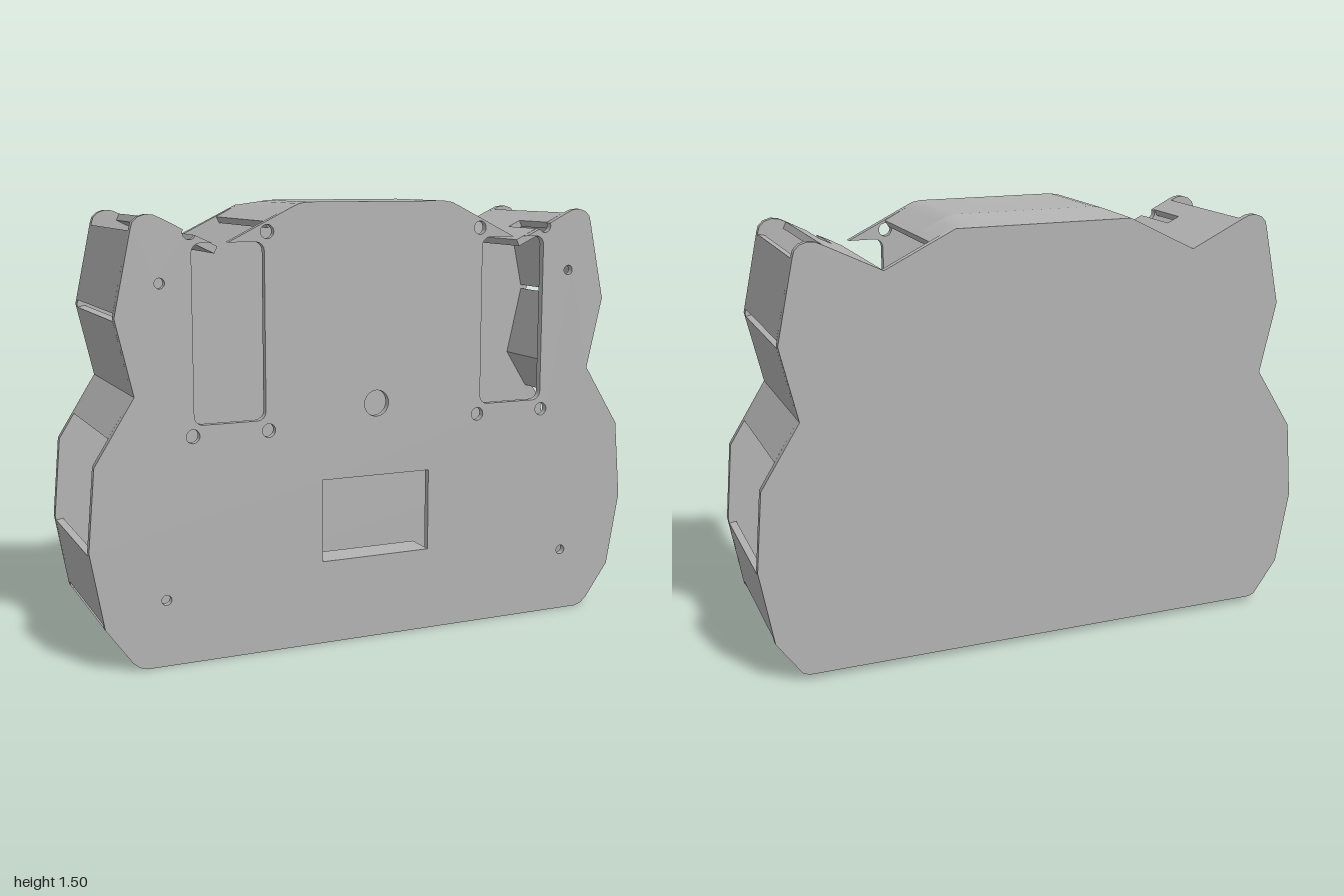
import * as THREE from 'three';
import { toCreasedNormals } from 'three/addons/utils/BufferGeometryUtils.js';

const FRONT = 0.273, BACK = -0.273, T = 0.025, TOP = 1.503;
const IN_F = FRONT - T, IN_B = BACK + T;

export function createModel() {
  const model = new THREE.Group();
  model.name = 'enclosure';
  const grey = new THREE.MeshStandardMaterial({ color: 0xb3b3b3 });
  grey.name = 'plain grey';

  const mirror = (pts) => pts.map(([x, y]) => [-x, y]).reverse();
  const toShape = (pts) => new THREE.Shape(pts.map(([x, y]) => new THREE.Vector2(x, y)));

  // Extrude between two depths; the floor and roof taper in toward the back
  function slab(name, shape, z0, z1) {
    let geo = new THREE.ExtrudeGeometry(shape, { depth: z1 - z0, bevelEnabled: false, curveSegments: 10 });
    geo.translate(0, 0, z0);
    const p = geo.attributes.position;
    for (let i = 0; i < p.count; i++) {
      const inset = 0.02 * Math.max(0, (-0.1 - p.getZ(i)) / (-0.1 - BACK));
      p.setY(i, Math.min(TOP - inset, Math.max(inset, p.getY(i))));
    }
    geo.computeVertexNormals();
    geo = toCreasedNormals(geo, 0.5);
    const mesh = new THREE.Mesh(geo, grey);
    mesh.name = name;
    model.add(mesh);
  }

  // Wall of constant thickness, following a run of outline points
  function wall(name, pts, z0 = IN_B, z1 = IN_F) {
    const normal = (a, b) => new THREE.Vector2(a[1] - b[1], b[0] - a[0]).normalize();
    const inner = pts.map((p, i) => {
      const n1 = normal(pts[Math.max(i - 1, 0)], pts[Math.max(i, 1)]);
      const last = pts.length - 1;
      const n2 = normal(pts[Math.min(i, last - 1)], pts[Math.min(i + 1, last)]);
      const k = T / (1 + n1.dot(n2));
      return [p[0] + (n1.x + n2.x) * k, p[1] + (n1.y + n2.y) * k];
    });
    slab(name, toShape([...pts, ...inner.reverse()]), z0, z1);
  }
  function wallPair(name, pts, z0, z1) {
    wall(name + 'Left', pts, z0, z1);
    wall(name + 'Right', mirror(pts), z0, z1);
  }

  // Outline of the left half, running from the floor up to the roof
  const corner = [[0.82, 0], [0.845, 0.008], [0.868, 0.028]];
  const flank = [[0.955, 0.15], [1, 0.41], [0.975, 0.685], [0.84, 0.9], [0.897, 1.15]];
  const earTip = [[0.838, 1.425], [0.832, 1.445], [0.815, 1.462], [0.79, 1.47], [0.765, 1.468], [0.74, 1.457]];
  const valley = [[0.55, 1.365]];
  const crown = [[0.31, 1.484], [0.28, 1.498], [0.25, TOP]];

  // Back plate
  const backHalf = [...corner, ...flank, ...earTip, ...valley, ...crown];
  slab('backPlate', toShape([...backHalf, ...mirror(backHalf)]), BACK, IN_B);

  // Front plate: the tall ear windows break out through the valleys,
  // and one screw hole bites into each ear slope
  const bite = [];
  for (let i = 0; i <= 8; i++) {
    const a = 0.45 - (Math.PI * i) / 8;
    bite.push([0.65 + 0.023 * Math.cos(a), 1.412 + 0.023 * Math.sin(a)]);
  }
  const round = (cx, cy, start) => [0, 1, 2, 3, 4].map((i) => {
    const a = start - (Math.PI / 8) * i;
    return [cx + 0.03 * Math.cos(a), cy + 0.03 * Math.sin(a)];
  });
  const earWindow = [
    [0.577, 1.378], ...round(0.615, 1.348, Math.PI / 2), ...round(0.615, 0.825, 0),
    ...round(0.43, 0.825, -Math.PI / 2), ...round(0.43, 1.348, Math.PI), [0.523, 1.378],
  ];
  const frontHalf = [...corner, ...flank, ...earTip, ...bite, ...earWindow, ...crown];
  const front = toShape([...frontHalf, ...mirror(frontHalf)]);
  const drill = (x, y, r) => front.holes.push(new THREE.Path().absarc(x, y, r, 0, Math.PI * 2, true));
  drill(0, 0.825, 0.045);
  for (const s of [-1, 1]) {
    for (const [x, y] of [[0.39, 1.41], [0.39, 0.76], [0.65, 0.76]]) drill(s * x, y, 0.023);
    for (const y of [0.225, 1.255]) drill(s * 0.75, y, 0.017);
  }
  front.holes.push(new THREE.Path([[-0.2, 0.29], [-0.2, 0.575], [0.2, 0.575], [0.2, 0.29]]
    .map(([x, y]) => new THREE.Vector2(x, y))));
  slab('frontPlate', front, IN_F, FRONT);

  // Floor and roof, each split where the taper begins
  const floorHalf = [...corner, [0.948, 0.14]];
  const roofHalf = [[0.39, 1.442], ...crown];
  for (const [z0, z1] of [[IN_B, -0.1], [-0.1, IN_F]]) {
    wall('floor', [...mirror(floorHalf), ...floorHalf], z0, z1);
    wall('roof', [...roofHalf, ...mirror(roofHalf)], z0, z1);
  }

  // Side walls between the slots, side windows and ear openings
  wallPair('lowerSide', [[0.9576, 0.165], [0.997, 0.395]]);
  wallPair('waist', [[0.922, 0.77], [0.84, 0.9], [0.895, 1.14]]);
  wallPair('earSide', [[0.894, 1.165], [0.839, 1.42]]);

  // Inner ear slope, with a groove running in from the front
  const slope = (x) => [x, 1.365 + (x - 0.55) * 0.484];
  wallPair('earSlopeUpper', [slope(0.74), slope(0.672)]);
  wallPair('earSlopeGroove', [slope(0.672), slope(0.628)], IN_B, 0.06);
  wallPair('earSlopeLower', [slope(0.628), slope(0.55)]);

  // Ledge below the display opening
  const ledge = new THREE.Mesh(new THREE.BoxGeometry(0.4, 0.02, 0.09), grey);
  ledge.name = 'displayLedge';
  ledge.position.set(0, 0.28, IN_F - 0.045);
  model.add(ledge);

  // Small pegs beside the display opening
  for (const s of [-1, 1]) {
    const peg = new THREE.Mesh(new THREE.CylinderGeometry(0.034, 0.034, 0.05, 20), grey);
    peg.name = 'displayPeg';
    peg.rotation.x = Math.PI / 2;
    peg.position.set(s * 0.25, 0.587, 0.203);
    model.add(peg);
  }
  return model;
}
